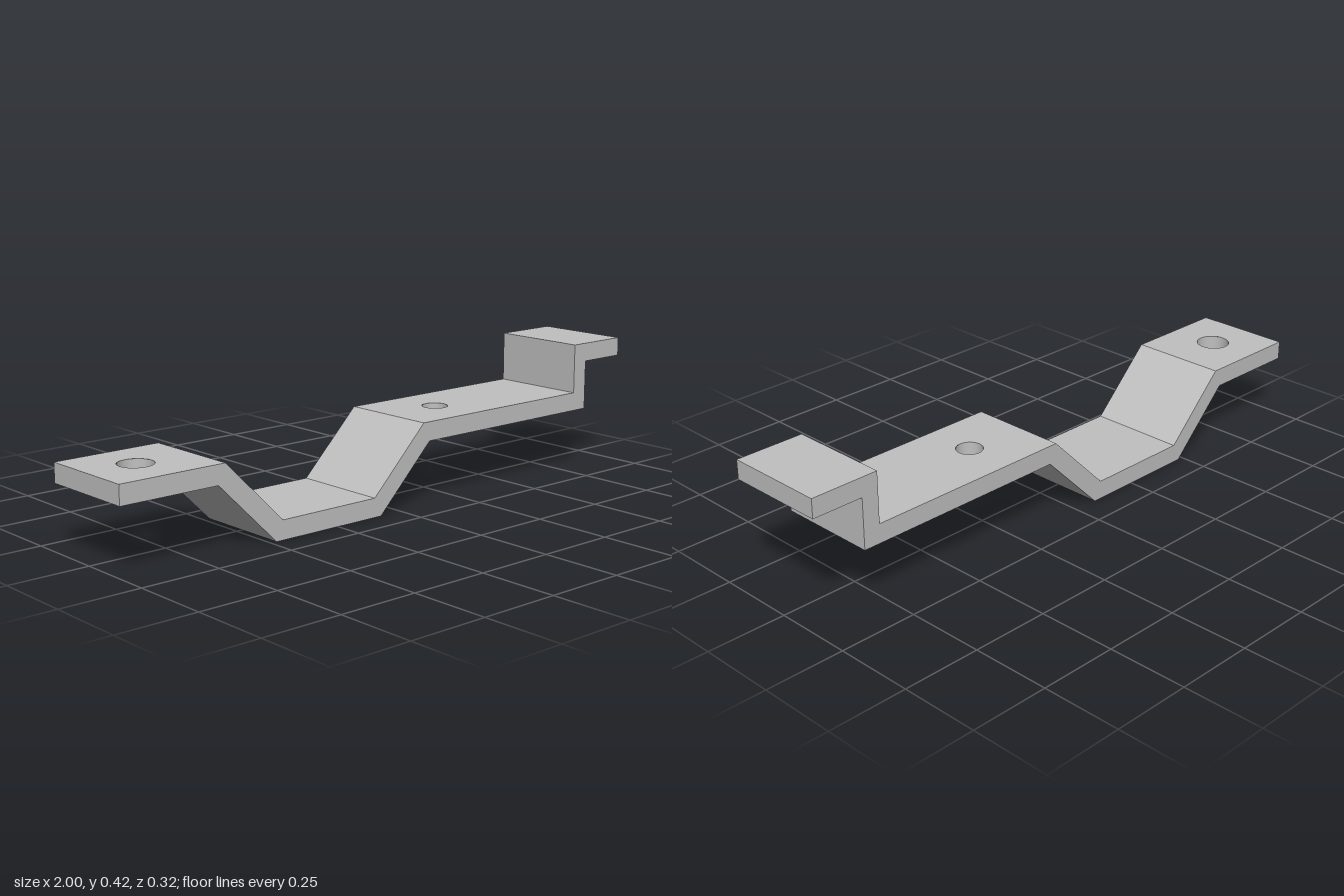
import * as THREE from 'three';
import { mergeGeometries } from 'three/addons/utils/BufferGeometryUtils.js';

const HALF_WIDTH = 0.16;
const LOW = 0.2, HIGH = 0.26; // underside and top of the drilled plates
const SEGMENTS = 40;

// Bent strip outline, counter-clockwise seen from the front
const profile = [
  [-1, LOW], [-0.68, LOW], [-0.48, 0], [-0.08, 0], [0.12, LOW], [0.835, LOW],
  [0.835, 0.36], [1, 0.36], [1, 0.42], [0.78, 0.42], [0.78, HIGH],
  [0.095, HIGH], [-0.105, 0.06], [-0.455, 0.06], [-0.655, HIGH], [-1, HIGH],
].map(([x, y]) => new THREE.Vector2(x, y));

const holes = [{ x: -0.84, r: 0.053 }, { x: 0.296, r: 0.041 }];

// One flat panel across the width for a profile edge, pierced where a hole meets it
function panel(a, b) {
  const length = a.distanceTo(b);
  const shape = new THREE.Shape([
    new THREE.Vector2(0, -HALF_WIDTH), new THREE.Vector2(length, -HALF_WIDTH),
    new THREE.Vector2(length, HALF_WIDTH), new THREE.Vector2(0, HALF_WIDTH),
  ]);
  for (const { x, r } of holes) {
    if (a.y === b.y && (x - a.x) * (x - b.x) < 0) {
      shape.holes.push(new THREE.Path().absarc(Math.abs(x - a.x), 0, r, 0, Math.PI * 2, true));
    }
  }
  const along = new THREE.Vector3(b.x - a.x, b.y - a.y, 0).normalize();
  const across = new THREE.Vector3(0, 0, 1);
  const outward = along.clone().cross(across);
  const placement = new THREE.Matrix4().makeBasis(along, across, outward).setPosition(a.x, a.y, 0);
  return new THREE.ShapeGeometry(shape, SEGMENTS).applyMatrix4(placement);
}

export function createModel() {
  const model = new THREE.Group();
  model.name = 'bentBracket';
  const metal = new THREE.MeshStandardMaterial({ color: 0xc0c0c0 });
  metal.name = 'plain grey metal';

  const add = (name, geometry) => {
    const mesh = new THREE.Mesh(geometry, metal);
    mesh.name = name;
    model.add(mesh);
    return mesh;
  };

  // Upper, lower and end faces of the strip
  add('stripFaces', mergeGeometries(
    profile.map((p, i) => panel(p, profile[(i + 1) % profile.length])),
  ));

  // Front and back edges
  const side = new THREE.ShapeGeometry(new THREE.Shape(profile));
  add('frontEdge', side).position.z = HALF_WIDTH;
  const back = side.clone();
  const index = Array.from(back.index.array).reverse();
  back.setIndex(index);
  back.computeVertexNormals();
  add('backEdge', back).position.z = -HALF_WIDTH;

  // Bore walls, running top to bottom so they face inward
  holes.forEach(({ x, r }, i) => {
    const wall = [new THREE.Vector2(r, HIGH), new THREE.Vector2(r, LOW)];
    add(i === 0 ? 'largeBoltHole' : 'smallBoltHole', new THREE.LatheGeometry(wall, SEGMENTS)).position.x = x;
  });

  return model;
}
